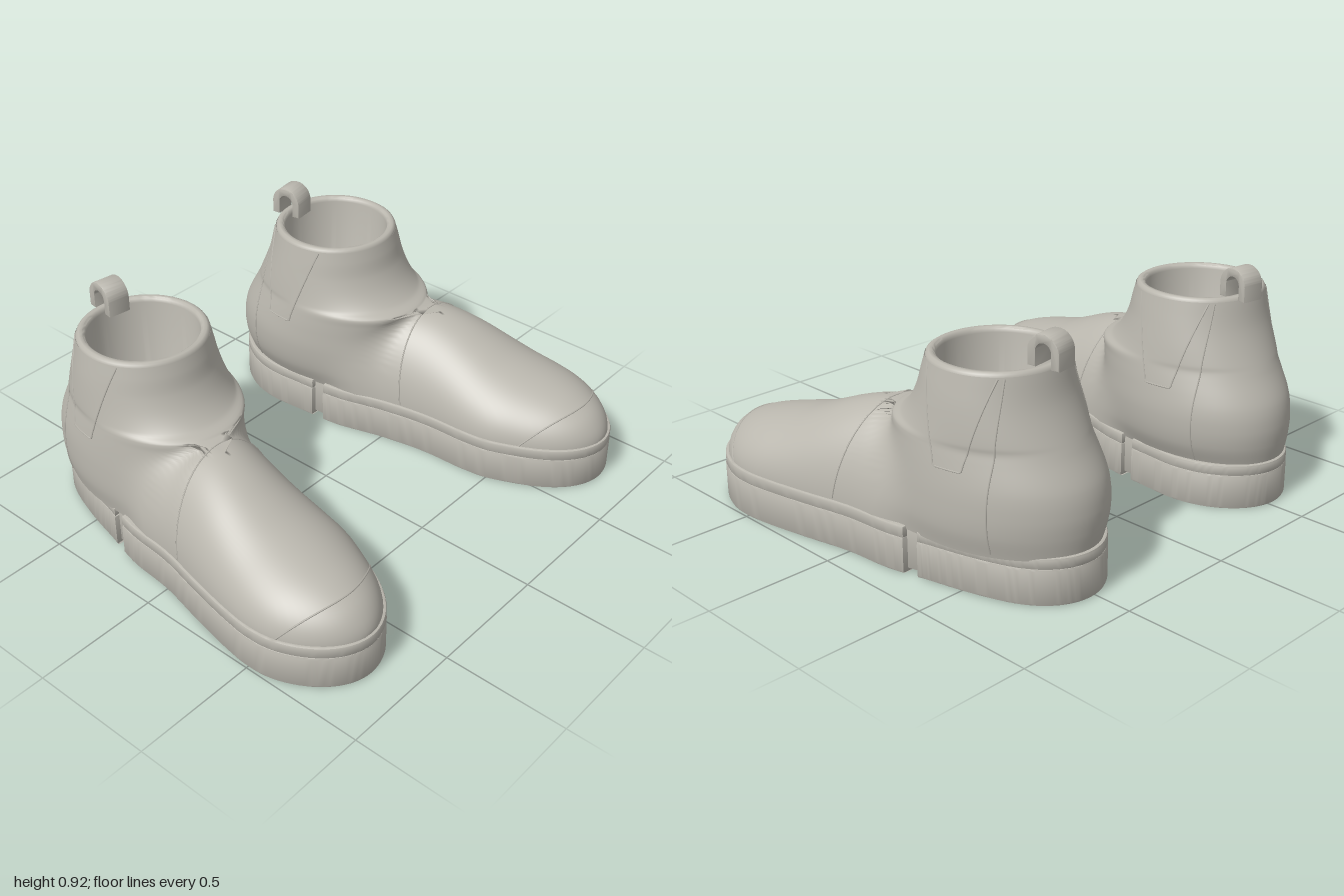
import * as THREE from 'three';
import { mergeVertices, toCreasedNormals } from 'three/addons/utils/BufferGeometryUtils.js';

const BASE = 0.17; // height where the upper meets the sole

// Smooth lookup through [key, value] pairs in ascending key order
function lookup(pairs) {
  const curve = new THREE.CatmullRomCurve3(pairs.map(([k, v]) => new THREE.Vector3(k, v, 0)));
  const pts = Array.from({ length: 241 }, (_, i) => curve.getPoint(i / 240));
  const read = (a, b) => (key) => {
    const list = pts[0][a] < pts[240][a] ? pts : [...pts].reverse();
    if (key <= list[0][a]) return list[0][b];
    for (let i = 1; i < list.length; i++) {
      if (key <= list[i][a]) {
        const span = list[i][a] - list[i - 1][a];
        const f = span > 1e-9 ? (key - list[i - 1][a]) / span : 0;
        return list[i - 1][b] + f * (list[i][b] - list[i - 1][b]);
      }
    }
    return list[240][b];
  };
  const f = read('x', 'y');
  f.inverse = read('y', 'x');
  return f;
}

// Sole outline: centre line and half width along z
const soleCentre = lookup([[-0.85, 0.525], [-0.6, 0.527], [-0.4, 0.555], [-0.2, 0.59], [0, 0.628],
  [0.2, 0.668], [0.4, 0.692], [0.5, 0.705], [0.6, 0.72], [0.85, 0.73]]);
const soleHalf = lookup([[-0.85, 0.265], [-0.6, 0.268], [-0.4, 0.28], [-0.2, 0.295], [0, 0.277],
  [0.2, 0.28], [0.4, 0.296], [0.5, 0.305], [0.85, 0.3]]);
function soleWidth(z) {
  const d = z > 0.3 ? (z - 0.3) / 0.55 : z < -0.45 ? (-0.45 - z) / 0.4 : 0;
  return soleHalf(z) * Math.sqrt(Math.max(0, 1 - Math.pow(d, 2.3)));
}

// Foot ridge height along z, and shaft limits along y
const ridge = lookup([[0, 0.535], [0.1, 0.52], [0.2, 0.49], [0.3, 0.45], [0.4, 0.412], [0.5, 0.385],
  [0.6, 0.36], [0.7, 0.328], [0.78, 0.285], [0.82, 0.24], [0.838, 0.2], [0.84, BASE]]);
const shaftInner = lookup([[BASE, 0.285], [0.25, 0.25], [0.35, 0.235], [0.45, 0.24], [0.6, 0.262], [0.7, 0.28], [0.8, 0.3]]);
const shaftOuter = lookup([[BASE, 0.845], [0.25, 0.86], [0.35, 0.862], [0.45, 0.855], [0.6, 0.835], [0.7, 0.82], [0.8, 0.8]]);
const shaftBack = lookup([[BASE, -0.835], [0.25, -0.848], [0.32, -0.85], [0.4, -0.835], [0.52, -0.775], [0.68, -0.705], [0.8, -0.675]]);
const shaftFront = lookup([[BASE, 0], [0.5, 0], [0.535, 0], [0.56, -0.05], [0.61, -0.1], [0.68, -0.14], [0.75, -0.16], [0.8, -0.175]]);

// Centre and half width of the upper at one height and depth: foot and shaft blended
function section(y, z) {
  const k = THREE.MathUtils.smoothstep(z, -0.6, -0.1);
  const h = (y - BASE) / Math.max(1e-5, ridge(z) - BASE);
  const foot = k * Math.max(0, soleWidth(z * 1.008) - 0.012) * Math.sqrt(Math.max(0, 1 - h * h));
  const zb = shaftBack(y), zf = shaftFront(y), zc = (zb + zf) / 2;
  const d = (z - zc) / ((zf - zb) / 2);
  const shaft = (shaftOuter(y) - shaftInner(y)) / 2 * Math.sqrt(Math.max(0, 1 - d * d));
  const lean = 0.09 * Math.max(0, 1 - (y - BASE) / 0.63) * (z - zc);
  const shaftCentre = (shaftOuter(y) + shaftInner(y)) / 2 + lean;
  const a = Math.pow(foot, 6), b = Math.pow(shaft, 6), sum = a + b;
  if (sum < 1e-18) return { c: z > -0.2 && y < 0.53 ? soleCentre(z) : shaftCentre, w: Math.max(foot, shaft) };
  return { c: (a * soleCentre(z) + b * shaftCentre) / sum, w: Math.pow(sum, 1 / 6) };
}

// Upper: stacked horizontal cross-sections
function upperGeometry() {
  const rows = 126, cols = 88, pos = [], index = [];
  for (let i = 0; i < rows; i++) {
    const y = BASE + (0.795 - BASE) * i / (rows - 1);
    const zb = shaftBack(y);
    const zf = y < 0.535 ? Math.max(shaftFront(y), ridge.inverse(y)) : shaftFront(y);
    for (let j = 0; j < cols; j++) {
      const t = j / cols * Math.PI * 2;
      const z = (zf + zb) / 2 + (zf - zb) / 2 * Math.cos(t);
      const { c, w } = section(y, z);
      const side = j % (cols / 2) === 0 ? 0 : Math.sign(Math.sin(t));
      pos.push(c + side * w, y, z);
      if (i < rows - 1) {
        const a = i * cols + j, b = i * cols + (j + 1) % cols;
        index.push(a, b, b + cols, a, b + cols, a + cols);
      }
    }
  }
  const g = new THREE.BufferGeometry();
  g.setAttribute('position', new THREE.Float32BufferAttribute(pos, 3));
  g.setIndex(index);
  g.computeVertexNormals();
  return g;
}

// Slab of the sole between two depths and two heights
function soleSlab(z0, z1, y0, y1, inset, bevel) {
  const pts = [], n = 120;
  for (let k = 0; k < n; k++) {
    const t = (k + 0.5) / n * Math.PI * 2;
    const z = (z0 + z1) / 2 + (z1 - z0) / 2 * Math.cos(t);
    const w = Math.max(0.002, soleWidth(z) - inset);
    pts.push(new THREE.Vector2(soleCentre(z) + Math.sign(Math.sin(t)) * w, -z));
  }
  const g = new THREE.ExtrudeGeometry(new THREE.Shape(pts), {
    depth: y1 - y0 - 2 * bevel, bevelEnabled: true, bevelSize: bevel, bevelThickness: bevel,
    bevelOffset: -bevel, bevelSegments: 2,
  });
  g.rotateX(-Math.PI / 2).translate(0, y0 + bevel, 0);
  return toCreasedNormals(g, 0.7);
}

// Stitched seam following the surface through (z, y, side) samples
function seam(samples) {
  const pts = samples.map(([z, y, side]) => {
    const { c, w } = section(y, z);
    return new THREE.Vector3(c + side * w, y, z);
  });
  return new THREE.TubeGeometry(new THREE.CatmullRomCurve3(pts), 80, 0.0035, 5);
}

// Seam arching over the foot from one side to the other
function archSeam(zSide, zTop) {
  const samples = [];
  for (let i = 0; i <= 40; i++) {
    const a = 0.06 + (Math.PI - 0.12) * i / 40, s = Math.sin(a);
    const z = zSide + (zTop - zSide) * s;
    samples.push([z, BASE + (ridge(z) - BASE) * s * 0.9999, Math.cos(a) >= 0 ? 1 : -1]);
  }
  return seam(samples);
}

// Straight-sided path through corner points, sampled densely
function sidePath(corners, side) {
  const out = [];
  for (let i = 0; i < corners.length - 1; i++) {
    for (let k = 0; k < 10; k++) {
      const f = k / 10, [a, b] = [corners[i], corners[i + 1]];
      out.push([a[0] + (b[0] - a[0]) * f, a[1] + (b[1] - a[1]) * f, side]);
    }
  }
  out.push([...corners[corners.length - 1], side]);
  return seam(out);
}

// Collar rim with the inner lining and insole
function collarGeometry() {
  const profile = [[0, 0.2], [0.2, 0.2], [0.207, 0.21], [0.213, 0.79], [0.217, 0.803], [0.225, 0.809],
    [0.238, 0.809], [0.247, 0.803], [0.25, 0.793]];
  const pts = profile.map(([r, y]) => new THREE.Vector2(r, y)).reverse();
  const g = new THREE.LatheGeometry(pts.reverse(), 64);
  return toCreasedNormals(g, 0.9).translate(0.55, 0, -0.425);
}

// Heel pull loop: an arched strap
function loopGeometry() {
  const s = new THREE.Shape();
  s.moveTo(0.066, -0.055);
  s.lineTo(0.066, 0);
  s.absarc(0, 0, 0.066, 0, Math.PI, false);
  s.lineTo(-0.066, -0.055);
  s.lineTo(-0.032, -0.055);
  s.lineTo(-0.032, 0);
  s.absarc(0, 0, 0.032, Math.PI, 0, true);
  s.lineTo(0.032, -0.055);
  const g = new THREE.ExtrudeGeometry(s, { depth: 0.084, curveSegments: 24, bevelSize: 0.005, bevelThickness: 0.005, bevelOffset: -0.005, bevelSegments: 2 });
  g.translate(0, 0, -0.042).rotateY(Math.PI / 2 + 0.14).translate(0.517, 0.85, -0.643);
  return toCreasedNormals(g, 0.7);
}

// Mirror across x and restore the face order
function mirrored(geometry) {
  const g = geometry.index ? geometry.clone() : mergeVertices(geometry);
  g.scale(-1, 1, 1);
  const ix = g.index.array;
  for (let i = 0; i < ix.length; i += 3) [ix[i], ix[i + 1]] = [ix[i + 1], ix[i]];
  return g;
}

export function createModel() {
  const grey = new THREE.MeshStandardMaterial({ color: 0xbab7ae, side: THREE.DoubleSide });
  grey.name = 'warmGrey';
  const parts = {
    upper: upperGeometry(),
    collarAndLining: collarGeometry(),
    pullLoop: loopGeometry(),
    soleCore: soleSlab(-0.83, 0.83, 0.015, 0.172, 0.022, 0.004),
    frontSole: soleSlab(-0.268, 0.85, 0, 0.142, 0, 0.01),
    frontWelt: soleSlab(-0.268, 0.85, 0.138, 0.185, 0.002, 0.008),
    heelSole: soleSlab(-0.85, -0.325, 0, 0.142, 0, 0.01),
    heelWelt: soleSlab(-0.85, -0.325, 0.138, 0.182, 0.002, 0.008),
    vampSeam: archSeam(0.08, 0.025),
    toeSeam: archSeam(0.6, 0.74),
  };
  for (const [name, side] of [['outer', 1], ['inner', -1]]) {
    parts[name + 'GoreSeam'] = sidePath([[-0.32, 0.79], [-0.42, 0.465], [-0.53, 0.465], [-0.605, 0.79]], side);
    parts[name + 'HeelSeam'] = sidePath([[-0.63, 0.185], [-0.63, 0.5], [-0.62, 0.79]], side);
  }
  const model = new THREE.Group();
  model.name = 'pairOfBoots';
  for (const boot of ['leftBoot', 'rightBoot']) {
    const group = new THREE.Group();
    group.name = boot;
    for (const [name, geometry] of Object.entries(parts)) {
      const mesh = new THREE.Mesh(boot === 'leftBoot' ? geometry : mirrored(geometry), grey);
      mesh.name = name;
      group.add(mesh);
    }
    model.add(group);
  }
  return model;
}
